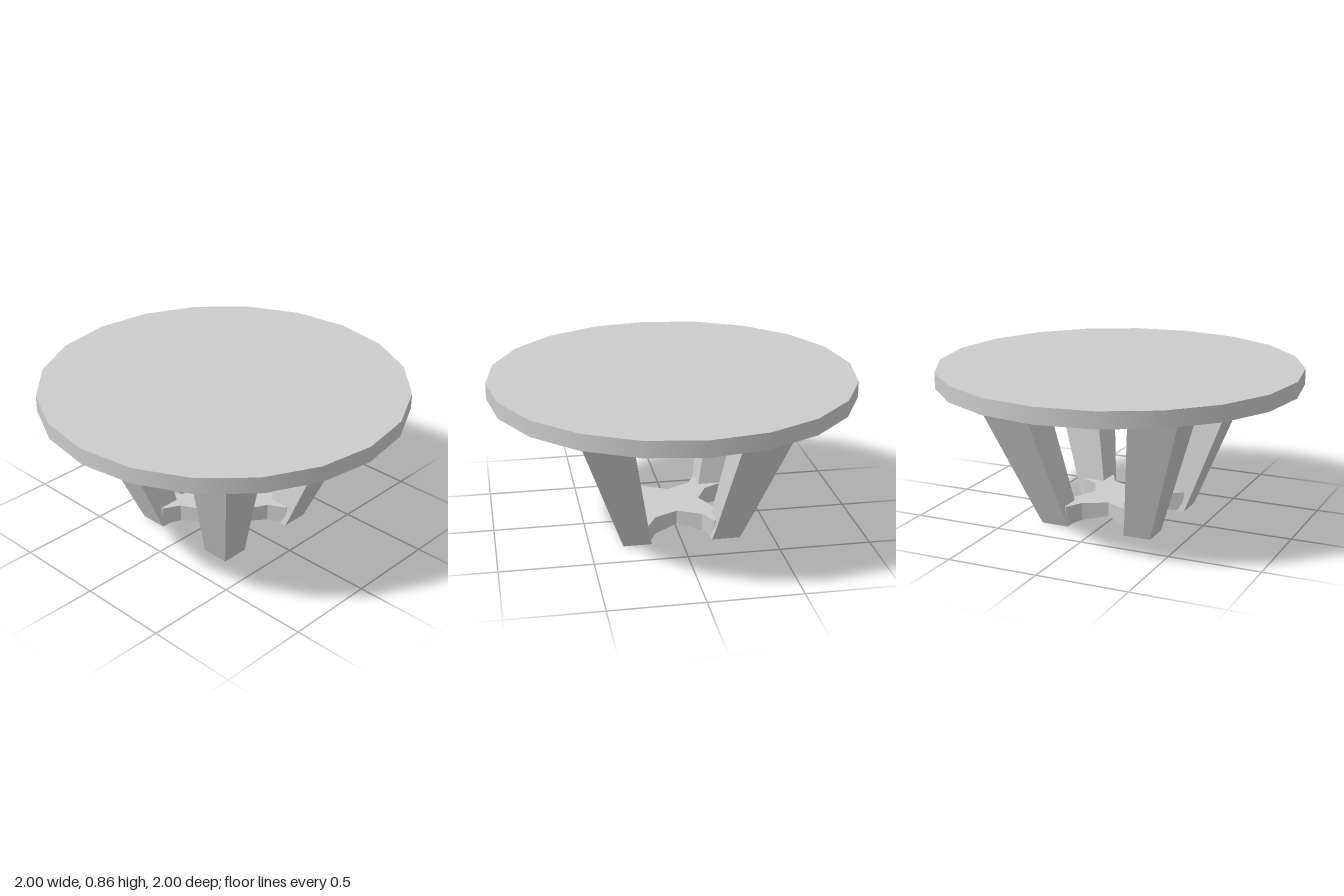
import * as THREE from 'three';

const flat = () => new THREE.MeshStandardMaterial({ color: 0xcccccc, flatShading: true });
const smooth = () => new THREE.MeshStandardMaterial({ color: 0xcccccc });

// Leg sections, bottom to top: height, inner and outer distance on both x and z
const SECTIONS = [
  { y: 0, inner: 0.165, outer: 0.32 },
  { y: 0.06, inner: 0.18, outer: 0.342 },
  { y: 0.775, inner: 0.31, outer: 0.59 },
];

// Square tapered leg splayed towards one corner
function makeLeg(sx, sz) {
  const geo = new THREE.BoxGeometry(1, 1, 1, 1, 2, 1);
  const p = geo.attributes.position;
  for (let i = 0; i < p.count; i++) {
    const s = SECTIONS[Math.round((p.getY(i) + 0.5) * 2)];
    const mid = (s.inner + s.outer) / 2;
    const width = s.outer - s.inner;
    p.setXYZ(i, sx * mid + p.getX(i) * width, s.y, sz * mid + p.getZ(i) * width);
  }
  geo.computeVertexNormals();
  return new THREE.Mesh(geo, flat());
}

// Cross-shaped stretcher whose underside rises towards the middle
function makeStretcher() {
  const side = [[0.31, 0.31], [0.18, 0.31], [0.13, 0.215], [0, 0.15], [-0.13, 0.215], [-0.18, 0.31]];
  const outline = [];
  for (let k = 0; k < 4; k++) {
    for (const [x, y] of side) {
      outline.push(new THREE.Vector2(x, y).rotateAround(new THREE.Vector2(), k * Math.PI / 2));
    }
  }
  const geo = new THREE.ExtrudeGeometry(new THREE.Shape(outline), { depth: 0.108, bevelEnabled: false });
  geo.rotateX(-Math.PI / 2);
  const p = geo.attributes.position;
  for (let i = 0; i < p.count; i++) {
    const r = Math.hypot(p.getX(i), p.getZ(i));
    if (p.getY(i) < 0.05) p.setY(i, Math.max(0.002, 0.03 - Math.max(0, r - 0.15) * 0.2));
  }
  geo.computeVertexNormals();
  return new THREE.Mesh(geo, flat());
}

export function createModel() {
  const table = new THREE.Group();
  table.name = 'roundTable';

  // Twenty-sided round top
  const top = new THREE.Mesh(new THREE.CylinderGeometry(1, 1, 0.088, 20), smooth());
  top.position.y = 0.814;
  top.name = 'tableTop';
  table.add(top);

  // Four splayed legs
  for (const sx of [-1, 1]) {
    for (const sz of [-1, 1]) {
      const leg = makeLeg(sx, sz);
      leg.name = (sz > 0 ? 'front' : 'back') + (sx > 0 ? 'Left' : 'Right') + 'Leg';
      table.add(leg);
    }
  }

  // Stretcher joining the feet
  const stretcher = makeStretcher();
  stretcher.name = 'stretcher';
  table.add(stretcher);

  return table;
}
